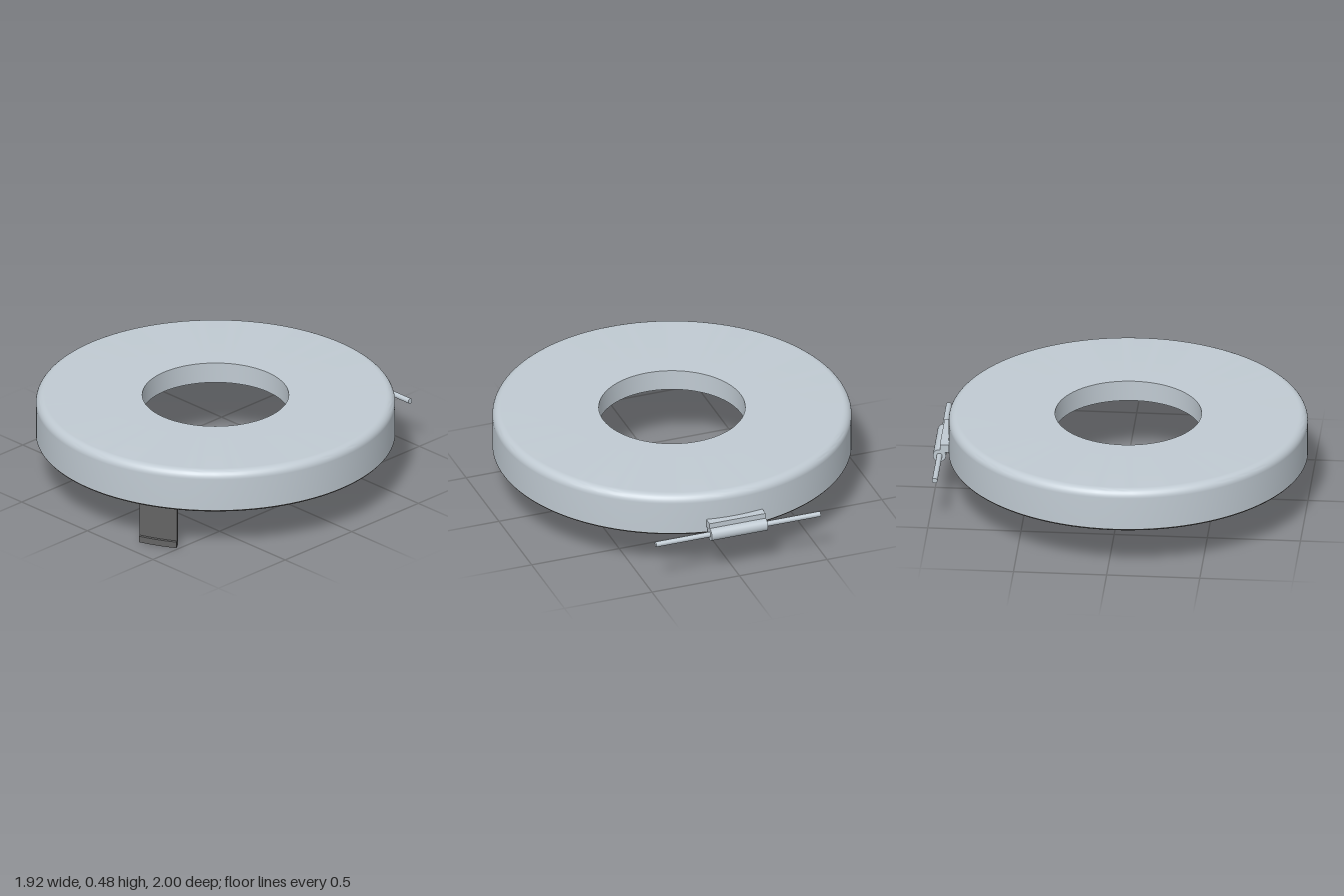
import * as THREE from 'three';
import { toCreasedNormals } from 'three/addons/utils/BufferGeometryUtils.js';

const CENTER_X = -0.002, CENTER_Z = 0.036;

// Curved latch slab between two radii; its ends are cut parallel to one skewed direction
function latchSlab(r0, r1, y0, y1) {
  const skew = 35, from = 17.6, to = 31.7;
  const rad = THREE.MathUtils.degToRad;
  const angle = (deg, r) => rad(90 - deg) - ((r - 0.875) * Math.tan(rad(skew - deg))) / r;
  const shape = new THREE.Shape();
  shape.absarc(0, 0, r1, angle(to, r1), angle(from, r1), false);
  shape.absarc(0, 0, r0, angle(from, r0), angle(to, r0), true);
  shape.closePath();
  const g = new THREE.ExtrudeGeometry(shape, { depth: y1 - y0, bevelEnabled: false, curveSegments: 12 });
  g.rotateX(Math.PI / 2);
  g.translate(0, y1, 0);
  return toCreasedNormals(g, 0.5);
}

// Cylinder lying along x
function rod(radius, length) {
  return new THREE.CylinderGeometry(radius, radius, length, 40).rotateZ(Math.PI / 2);
}

// Solid of revolution from [radius, y] points
function turned(points) {
  return toCreasedNormals(new THREE.LatheGeometry(points.map(([x, y]) => new THREE.Vector2(x, y)), 128), 0.5);
}

export function createModel() {
  const model = new THREE.Group();
  const steel = new THREE.MeshStandardMaterial({ color: 0xc0cad2 });
  const darkPlastic = new THREE.MeshStandardMaterial({ color: 0x646464 });
  steel.name = 'blue grey steel';
  darkPlastic.name = 'dark grey plastic';

  const add = (parent, name, geometry, material, x = 0, y = 0, z = 0) => {
    const mesh = new THREE.Mesh(geometry, material);
    mesh.name = name;
    mesh.position.set(x, y, z);
    parent.add(mesh);
  };

  // Hollow ring lid: outer skirt, rounded shoulder, flat top and short inner collar
  const R = 0.961, top = 0.483, bottom = 0.248, wall = 0.015, fillet = 0.045;
  const hole = 0.392, collarBottom = 0.368, sealTop = bottom + 0.01;
  const shoulder = (radius) => {
    const pts = [];
    for (let i = 0; i <= 8; i++) {
      const t = (i / 8) * Math.PI / 2;
      pts.push([R - fillet + radius * Math.cos(t), top - fillet + radius * Math.sin(t)]);
    }
    // short flats at both ends keep the broad faces evenly shaded
    return [[R - fillet + radius, top - fillet - 0.004], ...pts, [R - fillet - 0.004, top - fillet + radius]];
  };
  add(model, 'lid', turned([
    [R - wall, sealTop], [R, sealTop],
    ...shoulder(fillet),
    [hole, top], [hole, collarBottom], [hole + wall, collarBottom], [hole + wall, top - wall],
    ...shoulder(fillet - wall).reverse(),
    [R - wall, sealTop],
  ]), steel, CENTER_X, 0, CENTER_Z);

  // Dark seal along the lower edge of the skirt
  add(model, 'rimSeal', turned([
    [R - wall, bottom], [R - 0.005, bottom], [R, bottom + 0.006], [R, sealTop],
    [R - wall, sealTop], [R - wall, bottom],
  ]), darkPlastic, CENTER_X, 0, CENTER_Z);

  // Curved latch tab hanging from the underside of the lid
  const latch = new THREE.Group();
  latch.name = 'latch';
  latch.position.z = CENTER_Z - 0.009;
  model.add(latch);
  const ceiling = top - wall;
  add(latch, 'latchPanel', latchSlab(0.875, 0.907, 0.035, ceiling), darkPlastic);
  add(latch, 'latchFoot', latchSlab(0.875, 0.923, 0, 0.035), darkPlastic);
  add(latch, 'latchMount', latchSlab(0.906, 0.923, ceiling - 0.03, ceiling), darkPlastic);

  // Rear hinge: barrel, block joining it to the skirt, and a long pin
  const hinge = new THREE.Group();
  hinge.name = 'hinge';
  hinge.position.set(-0.003, 0.268, -0.965);
  model.add(hinge);
  const width = 0.32;
  add(hinge, 'hingeBarrel', rod(0.035, width), steel);
  add(hinge, 'hingeBlock', new THREE.BoxGeometry(width, 0.044, 0.05), steel, 0, 0.042, 0.027);
  add(hinge, 'hingePin', rod(0.0145, 0.938), steel);

  return model;
}
